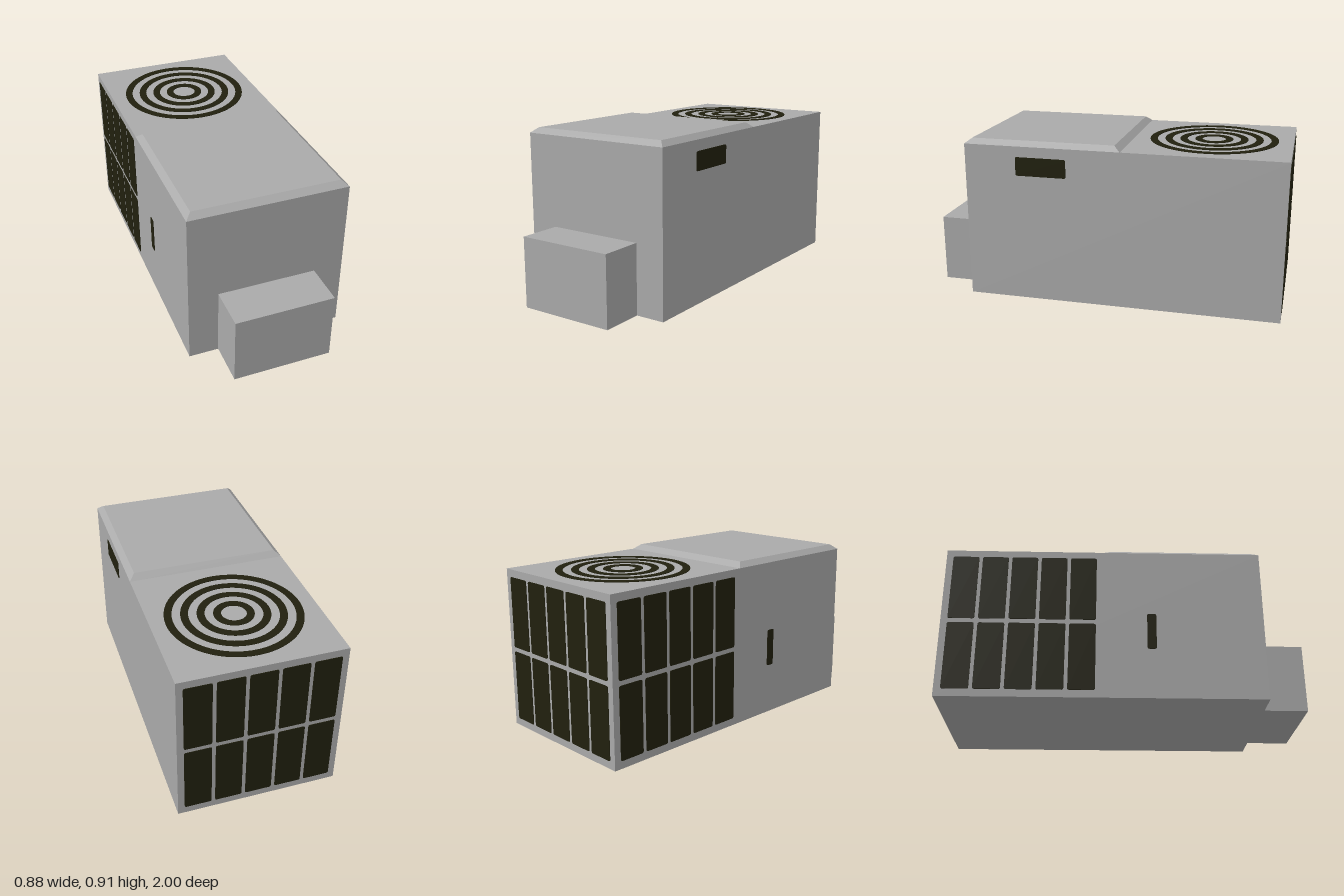
import * as THREE from 'three';

export function createModel() {
  const group = new THREE.Group();
  const grey = new THREE.MeshStandardMaterial({ color: 0xaaaaaa });
  grey.name = 'grey metal';
  const dark = new THREE.MeshStandardMaterial({ color: 0x21200e });
  dark.name = 'dark grille';

  const add = (name, geometry, material, parent = group) => {
    const mesh = new THREE.Mesh(geometry, material);
    mesh.name = name;
    parent.add(mesh);
    return mesh;
  };

  // Box given by its limits on each axis
  const box = (x0, x1, y0, y1, z0, z1) =>
    new THREE.BoxGeometry(x1 - x0, y1 - y0, z1 - z0)
      .translate((x0 + x1) / 2, (y0 + y1) / 2, (z0 + z1) / 2);

  // Thin plate with small rounded corners, facing +z
  const plate = (w, h, r = 0.01) => {
    const x = w / 2, y = h / 2;
    const s = new THREE.Shape();
    s.moveTo(-x + r, -y);
    s.lineTo(x - r, -y).quadraticCurveTo(x, -y, x, -y + r);
    s.lineTo(x, y - r).quadraticCurveTo(x, y, x - r, y);
    s.lineTo(-x + r, y).quadraticCurveTo(-x, y, -x, y - r);
    s.lineTo(-x, -y + r).quadraticCurveTo(-x, -y, -x + r, -y);
    return new THREE.ExtrudeGeometry(s, { depth: 0.003, bevelEnabled: false, curveSegments: 3 });
  };

  // Main housing and front step
  const W = 0.438, H = 0.884, FRONT = 0.762;
  add('housing', box(-W, W, 0, H, -1, FRONT), grey);
  add('frontBox', box(-0.274, 0.274, 0, 0.386, FRONT, 1), grey);

  // Bevelled roof cover: top corners pulled inward
  const cover = box(-W, W, H, 0.912, -0.117, FRONT);
  const p = cover.attributes.position;
  const midZ = (FRONT - 0.117) / 2;
  for (let i = 0; i < p.count; i++) {
    if (p.getY(i) < 0.9) continue;
    p.setX(i, p.getX(i) - Math.sign(p.getX(i)) * 0.033);
    p.setZ(i, p.getZ(i) - Math.sign(p.getZ(i) - midZ) * 0.036);
  }
  cover.computeVertexNormals();
  add('roofCover', cover, grey);

  // Concentric fan grille on the roof
  const fan = new THREE.Group();
  fan.name = 'fanGrille';
  fan.position.set(0, H, -0.56);
  fan.rotation.x = -Math.PI / 2;
  group.add(fan);
  for (const r of [0.106, 0.19, 0.274, 0.358]) {
    const ring = new THREE.Shape().absarc(0, 0, r, 0, Math.PI * 2, false);
    ring.holes.push(new THREE.Path().absarc(0, 0, r - 0.04, 0, Math.PI * 2, true));
    add('fanRing', new THREE.ExtrudeGeometry(ring,
      { depth: 0.003, bevelEnabled: false, curveSegments: 48 }), dark, fan);
  }

  // Two rows of five intake panels, used on the back and one side
  const panelGeometry = plate(0.145, 0.388);
  const panelBank = (name, x, z, turn) => {
    const bank = new THREE.Group();
    bank.name = name;
    bank.position.set(x, 0, z);
    bank.rotation.y = turn;
    group.add(bank);
    for (let col = -2; col <= 2; col++) {
      for (const y of [0.236, 0.649]) {
        add('intakePanel', panelGeometry, dark, bank).position.set(col * 0.165, y, 0);
      }
    }
  };
  panelBank('backIntake', 0, -1, Math.PI);
  panelBank('sideIntake', -W, -0.56, -Math.PI / 2);

  // Small side vent and opposite slot
  const vent = add('sideVent', plate(0.285, 0.104), dark);
  vent.position.set(W, 0.773, 0.325);
  vent.rotation.y = Math.PI / 2;
  const slot = add('sideSlot', plate(0.05, 0.21), dark);
  slot.position.set(-W, 0.39, 0.147);
  slot.rotation.y = -Math.PI / 2;

  return group;
}
